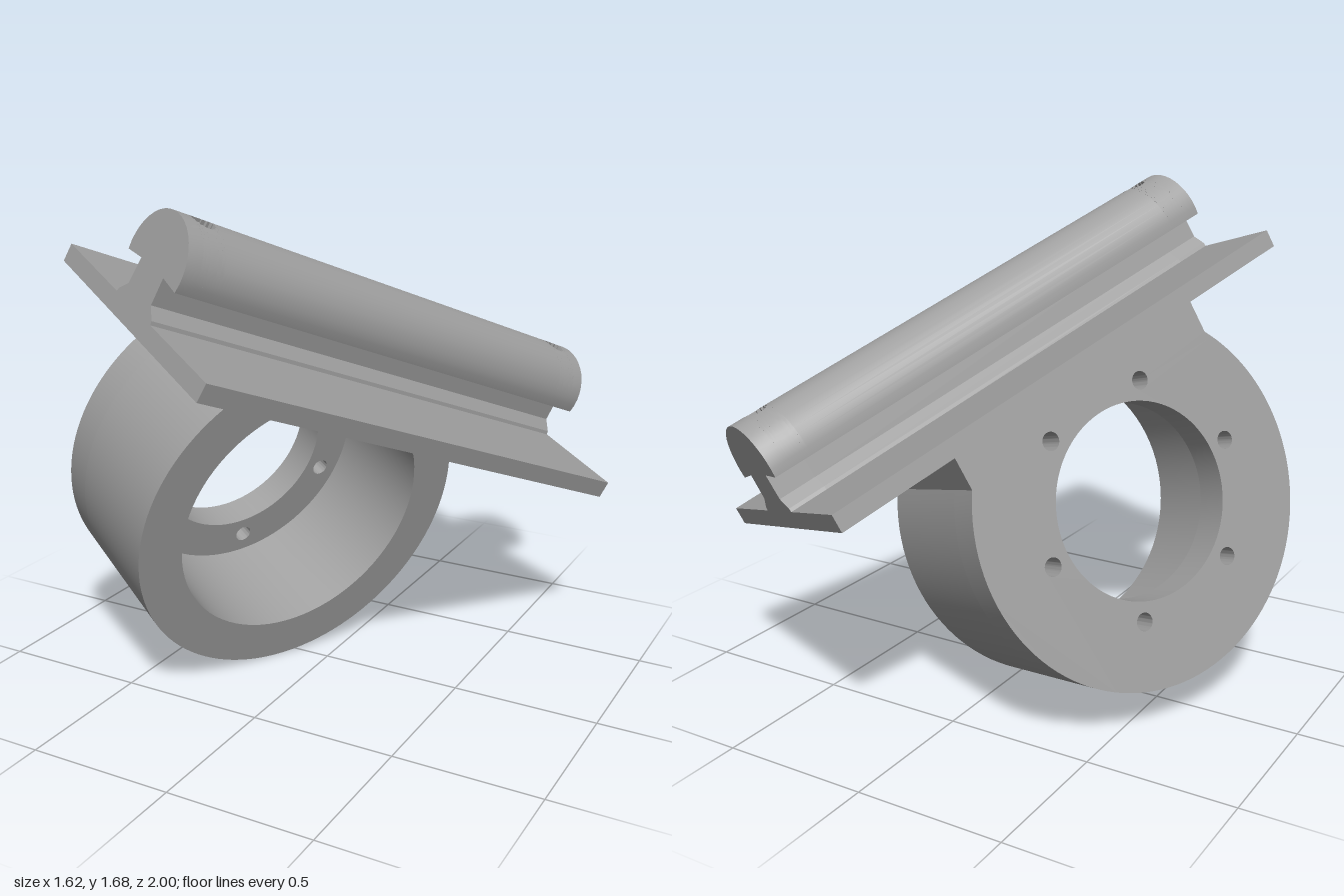
import * as THREE from 'three';
import { mergeGeometries, toCreasedNormals } from 'three/addons/utils/BufferGeometryUtils.js';

const HALF_LENGTH = 0.911, HALF_WIDTH = 0.456, PLATE = 0.06;
const HOLE_AT = 0.82, HOLE_R = 0.04;          // screw holes through rail and plate
const AXIS_Y = -0.517, OUTER_R = 0.608;       // housing axis below the plate top

const circle = (x, y, r) => new THREE.Path().absarc(x, y, r, 0, Math.PI * 2, true);
const extrude = (shape, depth) =>
  new THREE.ExtrudeGeometry(shape, { depth, bevelEnabled: false, curveSegments: 40 });

// Right half of the rail section, starting at distance g from the middle
function halfSection(g) {
  const r = 0.155, cy = 0.15;
  const pts = [[g, -0.005], [0.115, -0.005], [0.11, 0.012], [0.075, 0.045], [0.072, 0.13], [0.152, 0.122]];
  const end = Math.acos(g / r);
  for (let i = 0; i <= 10; i++) {
    const a = end * i / 10;
    pts.push([r * Math.cos(a), cy + r * Math.sin(a)]);
  }
  return pts.map(([x, y]) => new THREE.Vector2(x, y));
}
const mirrored = pts => pts.map(p => new THREE.Vector2(-p.x, p.y)).reverse();

// Rail cut into lengths; the thin slices at each screw hole are split in two
function railGeometry() {
  const parts = [];
  const add = (pts, z0, z1) => parts.push(extrude(new THREE.Shape(pts), z1 - z0).translate(0, 0, z0));
  const solid = (z0, z1) => {
    const half = halfSection(0);
    add([...half.slice(1), ...mirrored(half).slice(1, -1)], z0, z1);
  };
  const a = HOLE_AT - HOLE_R, b = HOLE_AT + HOLE_R;
  solid(-HALF_LENGTH, -b);
  solid(-a, a);
  solid(b, HALF_LENGTH);
  const n = 8;
  for (const c of [-HOLE_AT, HOLE_AT]) {
    for (let i = 0; i < n; i++) {
      const t0 = Math.PI * i / n, t1 = Math.PI * (i + 1) / n;
      const half = halfSection(HOLE_R * Math.sin((t0 + t1) / 2));
      const z0 = c - HOLE_R * Math.cos(t0), z1 = c - HOLE_R * Math.cos(t1);
      add(half, z0, z1);
      add(mirrored(half), z0, z1);
    }
  }
  return mergeGeometries(parts);
}

// Flat mounting plate with two screw holes
function plateGeometry() {
  const w = HALF_WIDTH, l = HALF_LENGTH;
  const shape = new THREE.Shape([[-w, -l], [w, -l], [w, l], [-w, l]].map(p => new THREE.Vector2(...p)));
  shape.holes.push(circle(0, HOLE_AT, HOLE_R), circle(0, -HOLE_AT, HOLE_R));
  return extrude(shape, PLATE).rotateX(-Math.PI / 2).translate(0, -PLATE, 0);
}

// Round housing outline with a straight-sided neck rising to the plate
function housingGeometry(holes, x0, x1) {
  const neck = 0.5, top = -PLATE + 0.002;
  const a = Math.acos(neck / OUTER_R);
  const shape = new THREE.Shape();
  shape.moveTo(neck, top);
  shape.lineTo(-neck, top);
  shape.absarc(0, AXIS_Y, OUTER_R, Math.PI - a, Math.PI * 2 + a, false);
  shape.closePath();
  shape.holes.push(...holes);
  return extrude(shape, x1 - x0).rotateY(Math.PI / 2).translate(x0, 0, 0);
}

export function createModel() {
  const model = new THREE.Group();
  const body = new THREE.Group();
  body.name = 'railMount';
  model.add(body);

  const grey = new THREE.MeshStandardMaterial({ color: 0xa0a0a0 });
  grey.name = 'grey';
  const part = (name, geometry) => {
    const mesh = new THREE.Mesh(toCreasedNormals(geometry, 0.35), grey);
    mesh.name = name;
    body.add(mesh);
  };

  part('rail', railGeometry());
  part('plate', plateGeometry());

  // Open cup, then the end flange with its bore and ring of six bolt holes
  const back = -0.455, step = -0.335, front = 0.095;
  part('cup', housingGeometry([circle(0, AXIS_Y, 0.456)], step, front));
  const holes = [circle(0, AXIS_Y, 0.32)];
  for (let i = 0; i < 6; i++) {
    const a = i * Math.PI / 3;
    holes.push(circle(0.385 * Math.cos(a), AXIS_Y + 0.385 * Math.sin(a), 0.03));
  }
  part('flange', housingGeometry(holes, back, step));

  // Tilt the whole mount: across the plate, up from it, and along the rail
  const across = new THREE.Vector3(0.844, -0.274, 0.46).normalize();
  const up = across.clone().cross(new THREE.Vector3(0.357, -0.362, -0.861)).normalize();
  const along = across.clone().cross(up);
  body.quaternion.setFromRotationMatrix(new THREE.Matrix4().makeBasis(across, up, along));
  body.position.set(0.112, 1.071, -0.01);
  return model;
}
